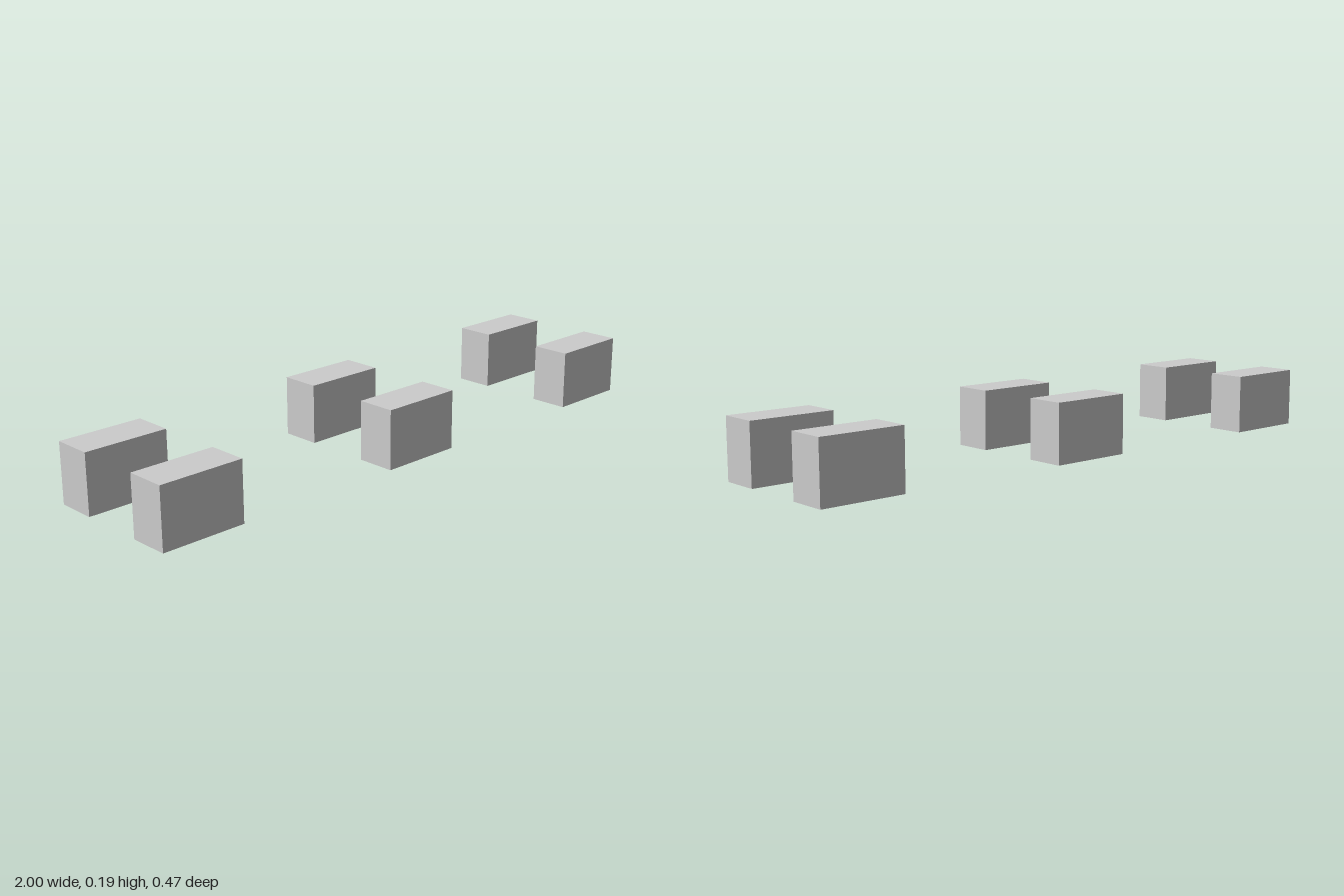
import * as THREE from 'three';

// Two rows of three identical rectangular blocks
export function createModel() {
  const group = new THREE.Group();
  const grey = new THREE.MeshStandardMaterial({ color: 0xcccccc });
  grey.name = 'light grey';

  const width = 0.279, height = 0.194, depth = 0.129;
  const geometry = new THREE.BoxGeometry(width, height, depth);
  const columns = { Right: -1 + width / 2, Middle: 0, Left: 1 - width / 2 };
  const rows = { front: 0.172, back: -0.172 };

  for (const [row, z] of Object.entries(rows)) {
    for (const [column, x] of Object.entries(columns)) {
      const block = new THREE.Mesh(geometry, grey);
      block.name = `${row}${column}Block`;
      block.position.set(x, height / 2, z);
      group.add(block);
    }
  }
  return group;
}
